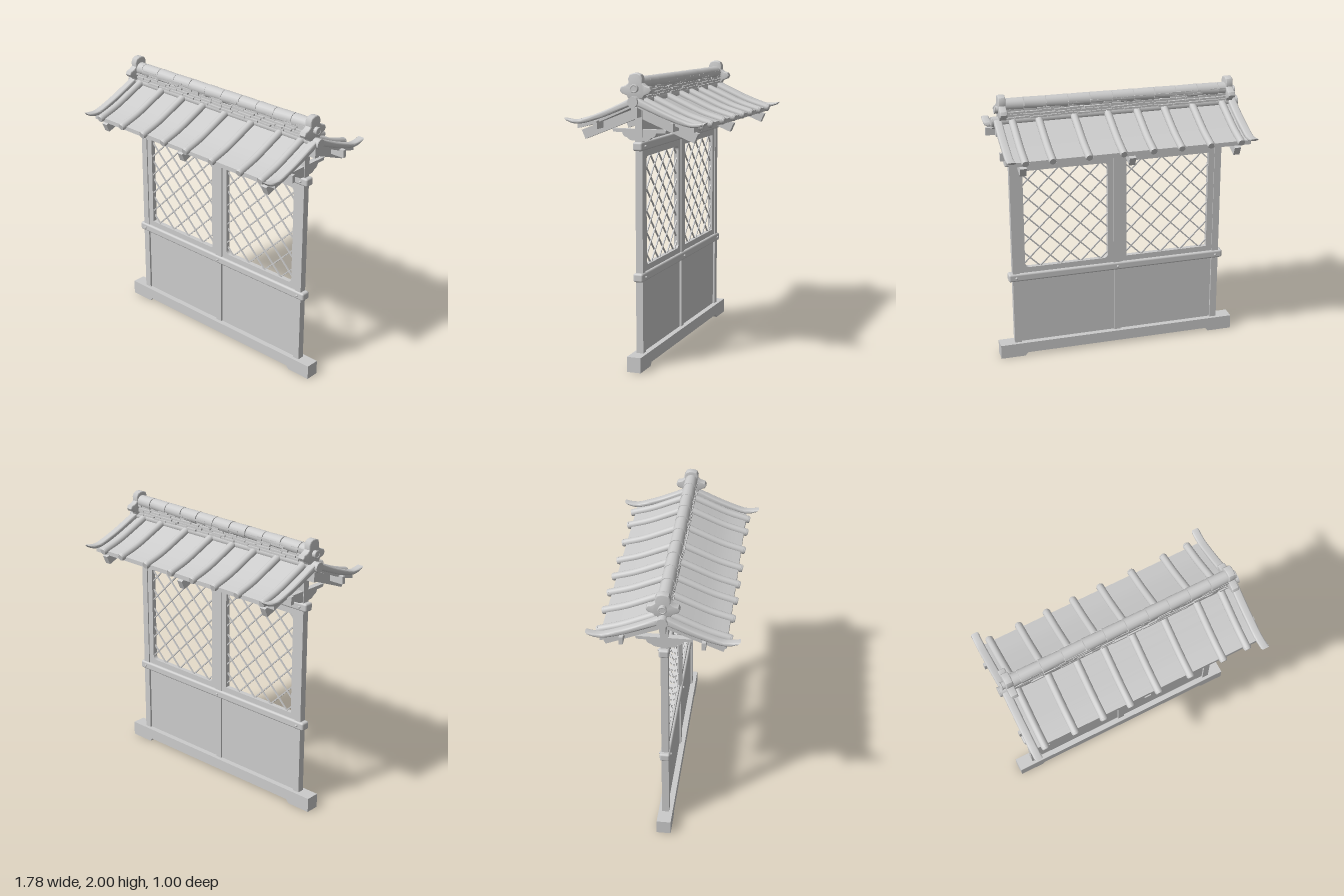
import * as THREE from 'three';
import { toCreasedNormals } from 'three/addons/utils/BufferGeometryUtils.js';
import { RoundedBoxGeometry } from 'three/addons/geometries/RoundedBoxGeometry.js';

const mat = new THREE.MeshStandardMaterial({ color: 0xcccccc, side: THREE.DoubleSide });

export function createModel() {
  const root = new THREE.Group();
  let seed = 7;
  const rand = () => (seed = (seed * 16807) % 2147483647) / 2147483647;

  const add = (name, geo, x = 0, y = 0, z = 0, parent = root) => {
    const m = new THREE.Mesh(geo, mat);
    m.name = name;
    m.position.set(x, y, z);
    parent.add(m);
    return m;
  };
  // box given by its limits in x and y and its depth, centred on z
  const slab = (name, x0, x1, y0, y1, depth, z = 0) =>
    add(name, new THREE.BoxGeometry(x1 - x0, y1 - y0, depth), (x0 + x1) / 2, (y0 + y1) / 2, z);
  const polygon = pts => new THREE.Shape(pts.map(p => new THREE.Vector2(...p)));
  // outline in (z, y), extruded along x and centred
  const extrudeX = (shape, width, bevel = 0) => {
    const g = new THREE.ExtrudeGeometry(shape, {
      depth: width - 2 * bevel, curveSegments: 10, bevelEnabled: bevel > 0,
      bevelSize: bevel, bevelThickness: bevel, bevelOffset: -bevel, bevelSegments: 3,
    });
    g.translate(0, 0, bevel - width / 2);
    g.rotateY(-Math.PI / 2);
    return toCreasedNormals(g, 0.6);
  };
  const rodX = (r, len, r2 = r) => new THREE.CylinderGeometry(r, r2, len, 18).rotateZ(Math.PI / 2);
  const curve2 = pts => new THREE.SplineCurve(pts.map(p => new THREE.Vector2(...p))).getPoints(14);

  // sill beam with a shallow notch underneath
  const sill = new THREE.ExtrudeGeometry(polygon([
    [-0.89, 0], [-0.71, 0], [-0.69, 0.025], [0.69, 0.025], [0.71, 0], [0.89, 0], [0.89, 0.105], [-0.89, 0.105],
  ]), { depth: 0.1, bevelEnabled: false });
  add('sill', sill, 0, 0, -0.05);

  // posts, panels and rails
  for (const s of [-1, 1]) {
    add('sidePost', new THREE.BoxGeometry(0.05, 1.67, 0.05), s * 0.755, 0.94, 0);
    slab('lowerPanel', s > 0 ? 0.02 : -0.735, s > 0 ? 0.735 : -0.02, 0.1, 0.61, 0.02);
  }
  slab('lowerMullion', -0.024, 0.024, 0.1, 0.61, 0.045);
  slab('windowMullion', -0.03, 0.03, 0.65, 1.49, 0.05);
  slab('upperMullion', -0.02, 0.02, 1.54, 1.76, 0.045);
  slab('upperPanel', -0.735, 0.735, 1.54, 1.78, 0.02);
  slab('ridgeBeam', -0.86, 0.86, 1.71, 1.78, 0.04);
  for (const y of [0.63, 1.515]) {
    add('rail', new RoundedBoxGeometry(1.62, 0.06, 0.07, 3, 0.014), 0, y, 0);
    for (const x of [-0.755, 0, 0.755]) for (const z of [-0.038, 0.038])
      add('peg', new THREE.SphereGeometry(0.009, 10, 8), x, y, z);
  }

  // window frames with diagonal lattice
  const roundedRect = (P, x0, x1, y0, y1, r) => {
    const p = new P();
    p.moveTo(x0 + r, y0).lineTo(x1 - r, y0).quadraticCurveTo(x1, y0, x1, y0 + r)
      .lineTo(x1, y1 - r).quadraticCurveTo(x1, y1, x1 - r, y1)
      .lineTo(x0 + r, y1).quadraticCurveTo(x0, y1, x0, y1 - r)
      .lineTo(x0, y0 + r).quadraticCurveTo(x0, y0, x0 + r, y0);
    return p;
  };
  const halfW = 0.308, halfH = 0.37;
  for (const s of [-1, 1]) {
    const win = new THREE.Group();
    win.name = 'window';
    win.position.set(s * 0.378, 1.07, 0);
    root.add(win);
    const frame = roundedRect(THREE.Shape, -0.355, 0.355, -0.415, 0.415, 0.001);
    frame.holes.push(roundedRect(THREE.Path, -halfW, halfW, -halfH, halfH, s > 0 ? 0.035 : 0.004));
    add('windowFrame', new THREE.ExtrudeGeometry(frame, { depth: 0.034, bevelEnabled: false }), 0, 0, -0.017, win);
    for (const d of [-1, 1]) for (let k = -4; k <= 4; k++) {
      // bar on the line y = d * x + c, clipped to the opening
      const c = k * 0.15 + 0.03 * d;
      const xa = Math.max(-halfW, Math.min((-halfH - c) / d, (halfH - c) / d));
      const xb = Math.min(halfW, Math.max((-halfH - c) / d, (halfH - c) / d));
      if (xb - xa < 0.02) continue;
      const xm = (xa + xb) / 2;
      const bar = add('latticeBar', new THREE.BoxGeometry((xb - xa) * Math.SQRT2 + 0.01, 0.009, 0.009),
        xm, d * xm + c, d * 0.003, win);
      bar.rotation.z = d * Math.PI / 4;
    }
  }

  // bracket arms and rafters carrying the roof
  const bracket = new THREE.Shape();
  bracket.moveTo(-0.19, 1.628).lineTo(-0.185, 1.606).lineTo(-0.12, 1.604)
    .quadraticCurveTo(-0.115, 1.575, -0.085, 1.572).quadraticCurveTo(-0.07, 1.55, -0.03, 1.552)
    .lineTo(0.03, 1.552).quadraticCurveTo(0.07, 1.55, 0.085, 1.572).quadraticCurveTo(0.115, 1.575, 0.12, 1.604)
    .lineTo(0.185, 1.606).lineTo(0.19, 1.628).closePath();
  const rafter = polygon([[0, 1.705], [0.385, 1.55], [0.412, 1.61], [0, 1.775]]);
  for (const x of [-0.755, 0, 0.755]) {
    add('bracketArm', extrudeX(bracket, 0.04), x);
    add('rafter', extrudeX(rafter, 0.045), x);
    add('rafter', extrudeX(rafter, 0.045), x).rotation.y = Math.PI;
  }

  // two mirrored roof slopes with cover rolls
  const top = curve2([[0, 1.815], [0.12, 1.762], [0.28, 1.695], [0.41, 1.657]]);
  const under = top.map(p => new THREE.Vector2(p.x, p.y - 0.03)).reverse();
  const deck = extrudeX(new THREE.Shape([...top, ...under]), 1.7);
  const rollPath = new THREE.CatmullRomCurve3([[0.02, 1.816], [0.12, 1.771], [0.28, 1.702], [0.432, 1.655]]
    .map(([z, y]) => new THREE.Vector3(0, y, z)));
  const roll = new THREE.TubeGeometry(rollPath, 16, 0.027, 14);
  const cap = new THREE.CylinderGeometry(0.022, 0.028, 0.016, 18).rotateX(Math.PI / 2 + 0.27);
  const crest = extrudeX(new THREE.Shape([
    ...curve2([[0.02, 1.84], [0.2, 1.757], [0.35, 1.7], [0.42, 1.685], [0.5, 1.695]]),
    ...curve2([[0.485, 1.677], [0.43, 1.66], [0.35, 1.667], [0.2, 1.715], [0.02, 1.79]]),
  ]), 0.056, 0.011);
  for (const turn of [0, Math.PI]) {
    const slope = new THREE.Group();
    slope.name = 'roofSlope';
    slope.rotation.y = turn;
    root.add(slope);
    const s = turn ? -1 : 1;
    add('roofDeck', deck, 0, 0, 0, slope);
    for (const x of [-0.77, -0.55, -0.34, -0.14, 0.07, 0.31, 0.56, 0.745]) {
      add('coverRoll', roll, s * x, 0, 0, slope);
      add('rollCap', cap, s * x, 1.655, 0.432, slope);
    }
    for (const x of [-0.845, 0.845]) add('endRoll', crest, x, 0, 0, slope);
    add('purlin', new THREE.BoxGeometry(1.77, 0.055, 0.026), 0, 1.657, 0.267, slope);
  }

  // ridge: round beam, courses of thin tiles, rounded cap tiles
  add('ridgePole', rodX(0.035, 1.78), 0, 1.815);
  add('ridgeCore', new THREE.BoxGeometry(1.6, 0.11, 0.06), 0, 1.865);
  for (const z of [-0.03, 0.03]) for (let row = 0; row < 5; row++) {
    let x = -0.8;
    while (x < 0.79) {
      const w = Math.min(0.06 + rand() * 0.07, 0.8 - x);
      const tile = add('ridgeTile', new THREE.BoxGeometry(w - 0.006, 0.013, 0.026), x + w / 2,
        1.84 + row * 0.02 + (rand() - 0.5) * 0.006, z + Math.sign(z) * (rand() - 0.5) * 0.012);
      tile.rotation.z = (rand() - 0.5) * 0.06;
      x += w;
    }
  }
  const joints = [-0.81, -0.735, -0.58, -0.42, -0.265, -0.115, 0.04, 0.2, 0.355, 0.51, 0.665, 0.81];
  for (let i = 0; i < joints.length - 1; i++) {
    const mid = (joints[i] + joints[i + 1]) / 2;
    const tile = add('ridgeCapTile', rodX(0.048, joints[i + 1] - joints[i] - 0.005, 0.044), mid, 1.92 + mid * 0.01);
    tile.rotation.z = 0.03 + (rand() - 0.5) * 0.04;
  }

  // lobed ornaments closing both ridge ends
  const half = [[0.05, 1.835], [0.062, 1.855], [0.098, 1.868], [0.11, 1.888], [0.1, 1.91],
    [0.07, 1.918], [0.048, 1.935], [0.05, 1.965], [0.038, 1.99], [0.012, 2]];
  const ornament = extrudeX(polygon([...half, ...half.map(([z, y]) => [-z, y]).reverse()]), 0.05, 0.006);
  for (const s of [-1, 1]) {
    add('ridgeOrnament', ornament, s * 0.815);
    add('ornamentBoss', rodX(0.026, 0.06), s * 0.835, 1.9);
    add('bossRim', new THREE.TorusGeometry(0.023, 0.006, 8, 20).rotateY(Math.PI / 2), s * 0.862, 1.9);
    add('poleRim', new THREE.TorusGeometry(0.03, 0.006, 8, 20).rotateY(Math.PI / 2), s * 0.884, 1.815);
  }
  return root;
}
